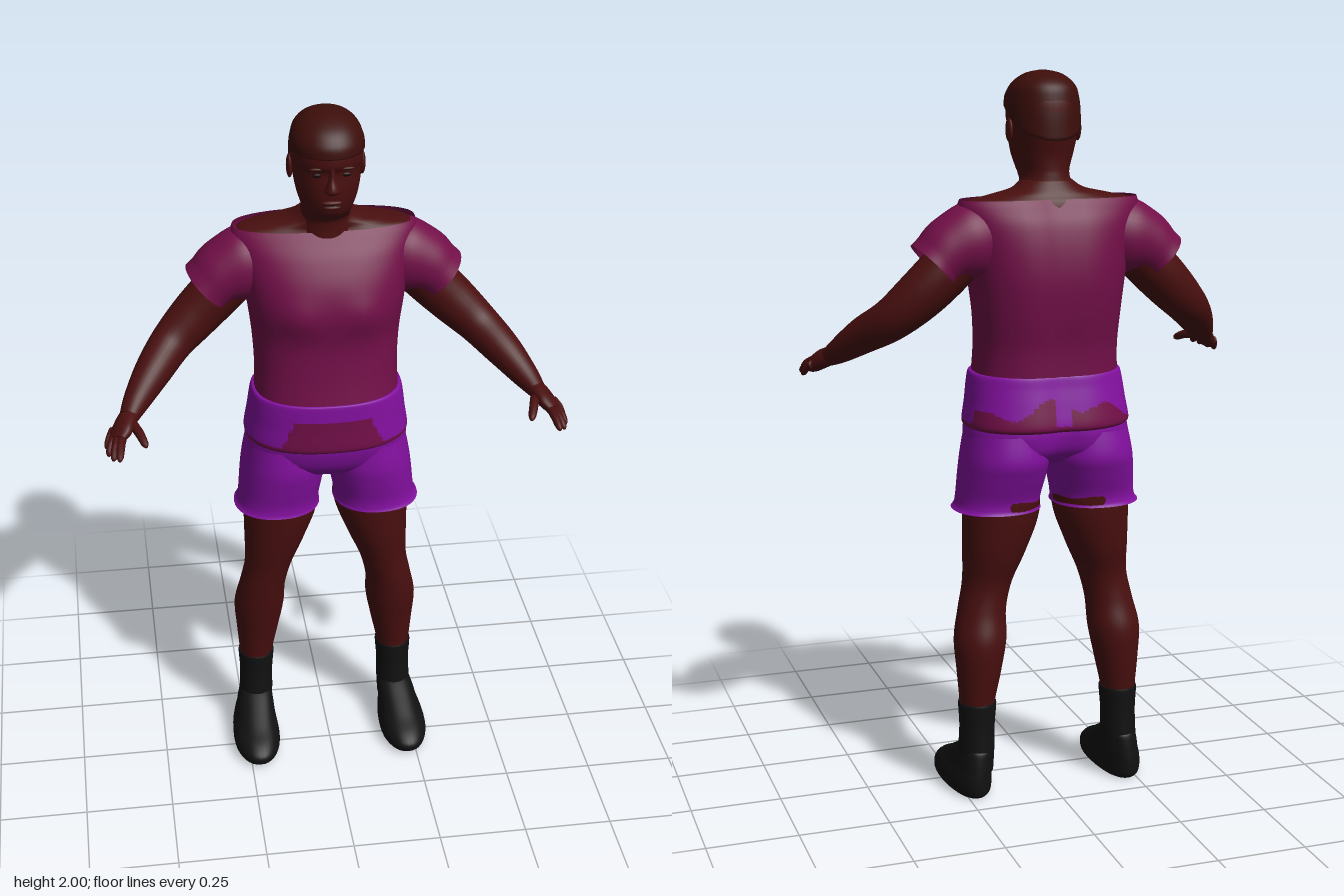
import * as THREE from 'three';

const mat = (name, color, side = THREE.FrontSide) => {
  const m = new THREE.MeshStandardMaterial({ color, side });
  m.name = name;
  return m;
};

// Smooth surface through sections [x, y, z, halfWidth, halfDepth].
// dir fixes the ring normal; otherwise rings follow the path.
function loft(sections, { n = 40, steps = 6, power = 2, dir = null, cap = true, deform = null, paint = null } = {}) {
  const V = THREE.Vector3, last = sections.length - 1, pos = [], index = [];
  const cr = (a, b, c, d, t) =>
    0.5 * (2 * b + (c - a) * t + (2 * a - 5 * b + 4 * c - d) * t * t + (3 * b - a - 3 * c + d) * t * t * t);
  const at = (f) => {
    const i = Math.min(Math.floor(f), last - 1), t = f - i;
    const s = (k) => sections[Math.max(0, Math.min(last, k))];
    return s(i).map((_, k) => cr(s(i - 1)[k], s(i)[k], s(i + 1)[k], s(i + 2)[k], t));
  };
  const rows = last * steps, zAxis = new V(0, 0, 1);
  const place = (p) => { if (deform) deform(p); pos.push(p.x, p.y, p.z); };
  const bend = (c) => Math.sign(c) * Math.pow(Math.abs(c), 2 / power);
  for (let i = 0; i <= rows; i++) {
    const f = i / steps, q = at(f), a = at(Math.max(0, f - 0.1)), b = at(Math.min(last, f + 0.1));
    const T = dir ? dir.clone() : new V(b[0] - a[0], b[1] - a[1], b[2] - a[2]).normalize();
    const u = T.clone().cross(zAxis).normalize(), v = T.clone().cross(u);
    for (let j = 0; j < n; j++) {
      const w = (j / n) * Math.PI * 2;
      place(new V(q[0], q[1], q[2]).addScaledVector(u, q[3] * bend(Math.cos(w))).addScaledVector(v, q[4] * bend(Math.sin(w))));
    }
  }
  for (let i = 0; i < rows; i++) for (let j = 0; j < n; j++) {
    const a = i * n + j, b = i * n + (j + 1) % n;
    index.push(a, b, a + n, b, b + n, a + n);
  }
  if (cap) {
    const c = pos.length / 3, top = rows * n;
    place(new V(...sections[0].slice(0, 3)));
    place(new V(...sections[last].slice(0, 3)));
    for (let j = 0; j < n; j++) {
      const k = (j + 1) % n;
      index.push(c, k, j, c + 1, top + j, top + k);
    }
  }
  const g = new THREE.BufferGeometry();
  g.setAttribute('position', new THREE.Float32BufferAttribute(pos, 3));
  if (paint) {
    const sets = [[], []];
    for (let i = 0; i < index.length; i += 3) {
      const t = index.slice(i, i + 3), mid = (k) => (pos[t[0] * 3 + k] + pos[t[1] * 3 + k] + pos[t[2] * 3 + k]) / 3;
      sets[paint(mid(0), mid(1), mid(2))].push(...t);
    }
    g.setIndex([...sets[0], ...sets[1]]);
    g.addGroup(0, sets[0].length, 0);
    g.addGroup(sets[0].length, sets[1].length, 1);
  } else g.setIndex(index);
  g.computeVertexNormals();
  return g;
}

// Horizontal slices [y, x, halfWidth, frontZ, backZ]
function stack(rows, opts = {}, s = 1) {
  const up = Math.sign(rows[rows.length - 1][0] - rows[0][0]);
  return loft(rows.map(([y, x, rx, f, b]) => [x * s, y, (f + b) / 2, rx, (f - b) / 2]), { dir: new THREE.Vector3(0, up, 0), ...opts });
}

export function createModel() {
  const root = new THREE.Group();
  root.name = 'figure';
  const skin = mat('skin', 0x490f0f), hairMat = mat('hair', 0x3c0e0a, THREE.DoubleSide), dark = mat('eyeDark', 0x160606);
  const shirtMat = mat('shirt', 0x720f48, THREE.DoubleSide), shortsMat = mat('shorts', 0x8410a0, THREE.DoubleSide);
  const black = mat('footwear', 0x111111);
  const add = (name, geo, m, parent = root) => {
    const mesh = new THREE.Mesh(geo, m);
    mesh.name = name;
    parent.add(mesh);
    return mesh;
  };
  const blob = (name, m, p, size, parent) => {
    const b = add(name, new THREE.SphereGeometry(1, 20, 14), m, parent);
    b.position.set(...p);
    b.scale.set(...size);
    return b;
  };
  // Groove along the spine
  const groove = (depth) => (p) => { if (p.z < -0.13) p.z += depth * Math.exp(-((p.x / 0.05) ** 2)); };

  // Head and neck
  const head = new THREE.Group();
  head.name = 'head';
  root.add(head);
  add('headAndNeck', stack([
    [1.62, 0, 0.085, -0.02, -0.18], [1.70, 0, 0.07, -0.02, -0.166], [1.725, 0, 0.066, 0.01, -0.162],
    [1.745, 0, 0.069, 0.032, -0.16], [1.78, 0, 0.08, 0.043, -0.162], [1.82, 0, 0.088, 0.046, -0.172],
    [1.86, 0, 0.093, 0.045, -0.182], [1.885, 0, 0.095, 0.054, -0.184], [1.93, 0, 0.092, 0.048, -0.178],
    [1.965, 0, 0.074, 0.022, -0.157], [1.988, 0, 0.044, -0.02, -0.118], [1.996, 0, 0.008, -0.06, -0.08]],
  { power: 2.15 }), skin, head);
  add('hair', stack([
    [1.905, 0, 0.099, 0.06, -0.187], [1.935, 0, 0.096, 0.055, -0.182], [1.968, 0, 0.078, 0.028, -0.162],
    [1.991, 0, 0.047, -0.018, -0.122], [2.0, 0, 0.008, -0.06, -0.08]], {
    power: 2.15,
    deform: (p) => { if (p.z < -0.03) p.y -= (-0.03 - p.z) * Math.max(0, 1.95 - p.y) * 12; },
  }), hairMat, head);
  add('nose', stack([
    [1.805, 0, 0.012, 0.052, 0.02], [1.815, 0, 0.021, 0.069, 0.02], [1.828, 0, 0.016, 0.069, 0.02],
    [1.85, 0, 0.01, 0.058, 0.02], [1.88, 0, 0.009, 0.053, 0.02]], { n: 16 }), skin, head);
  blob('upperLip', skin, [0, 1.782, 0.042], [0.028, 0.007, 0.01], head);
  blob('lowerLip', skin, [0, 1.768, 0.039], [0.024, 0.007, 0.01], head);
  blob('mouthLine', dark, [0, 1.775, 0.044], [0.026, 0.002, 0.005], head);
  for (const s of [-1, 1]) {
    blob('ear', skin, [s * 0.096, 1.845, -0.075], [0.009, 0.033, 0.02], head);
    blob('eye', dark, [s * 0.036, 1.857, 0.036], [0.015, 0.006, 0.005], head);
    blob('brow', hairMat, [s * 0.038, 1.876, 0.042], [0.022, 0.005, 0.007], head);
  }

  // Bare shoulders inside the wide neckline
  add('shoulders', stack([
    [1.58, 0, 0.225, -0.005, -0.215], [1.63, 0, 0.238, -0.022, -0.208], [1.66, 0, 0.235, -0.038, -0.2],
    [1.676, 0, 0.17, -0.042, -0.19], [1.692, 0, 0.1, -0.036, -0.18], [1.715, 0, 0.066, -0.03, -0.163]],
  { power: 2.3 }), skin);

  // Shirt body, with pectoral swell and spine groove
  add('shirtBody', stack([
    [1.19, 0, 0.201, 0.074, -0.235], [1.27, 0, 0.198, 0.062, -0.238], [1.36, 0, 0.203, 0.056, -0.252],
    [1.45, 0, 0.214, 0.066, -0.26], [1.53, 0, 0.226, 0.052, -0.254], [1.60, 0, 0.241, 0.018, -0.238],
    [1.645, 0, 0.252, -0.015, -0.217], [1.668, 0, 0.247, -0.033, -0.205]], {
    n: 56, power: 2.35, cap: false,
    deform: (p) => {
      groove(0.012)(p);
      if (p.z > -0.02) p.z += 0.01 * Math.exp(-(((Math.abs(p.x) - 0.09) / 0.05) ** 2) - ((p.y - 1.46) / 0.05) ** 2);
    },
  }), shirtMat);

  // Hips: shirt tail and waistband show through each other
  add('waistAndShirtTail', stack([
    [1.05, 0, 0.225, 0.072, -0.252], [1.064, 0, 0.231, 0.08, -0.262], [1.12, 0, 0.222, 0.079, -0.252],
    [1.165, 0, 0.216, 0.079, -0.242], [1.196, 0, 0.209, 0.078, -0.236], [1.199, 0, 0.197, 0.07, -0.228]], {
    n: 96, steps: 8, power: 2.35, cap: false, deform: groove(0.012),
    paint: (x, y, z) => {
      if (y < 1.067) return 1;
      const ax = Math.abs(x);
      if (z > 0) return y < 1.148 && ax < 0.145 - (y - 1.06) * 0.45 ? 1 : 0;
      if (z < -0.14) return y < 1.13 + 0.018 * Math.sin(x * 37) - ax * 0.2 && ax > 0.02 ? 1 : 0;
      return 0;
    },
  }), [shortsMat, shirtMat]);

  // Shorts seat
  add('shortsSeat', stack([
    [0.935, 0, 0.05, -0.03, -0.15], [0.95, 0, 0.15, 0.015, -0.195], [0.985, 0, 0.215, 0.047, -0.235],
    [1.03, 0, 0.229, 0.064, -0.248], [1.07, 0, 0.224, 0.07, -0.246]],
  { n: 56, power: 2.35, deform: groove(0.03) }), shortsMat);

  for (const s of [-1, 1]) {
    const side = new THREE.Group();
    side.name = s > 0 ? 'leftLimbs' : 'rightLimbs';
    root.add(side);
    const put = (name, geo, m) => add(name, geo, m, side);

    put('shortsLeg', stack([
      [1.04, 0.12, 0.105, 0.045, -0.235], [0.97, 0.121, 0.118, 0.049, -0.245], [0.92, 0.127, 0.119, 0.042, -0.23],
      [0.86, 0.136, 0.116, 0.03, -0.207], [0.832, 0.14, 0.117, 0.029, -0.204], [0.82, 0.143, 0.123, 0.032, -0.208]],
    { cap: false, power: 2.2 }, s), shortsMat);
    put('leg', stack([
      [0.93, 0.13, 0.1, 0.01, -0.205], [0.81, 0.131, 0.107, 0.01, -0.203], [0.7, 0.15, 0.088, 0, -0.188],
      [0.61, 0.17, 0.069, -0.015, -0.165], [0.53, 0.188, 0.067, -0.024, -0.17], [0.45, 0.198, 0.073, -0.035, -0.19],
      [0.36, 0.204, 0.062, -0.052, -0.186], [0.27, 0.21, 0.049, -0.066, -0.174], [0.2, 0.212, 0.044, -0.07, -0.17]], {}, s), skin);
    put('sock', stack([
      [0.268, 0.21, 0.046, -0.068, -0.172], [0.266, 0.21, 0.053, -0.062, -0.178], [0.2, 0.211, 0.049, -0.064, -0.176],
      [0.13, 0.213, 0.05, -0.058, -0.178], [0.07, 0.216, 0.05, -0.05, -0.178]], {}, s), black);
    put('shoe', stack([
      [0, 0.225, 0.056, 0.1, -0.175], [0.012, 0.225, 0.068, 0.122, -0.187], [0.035, 0.225, 0.071, 0.125, -0.19],
      [0.058, 0.224, 0.067, 0.098, -0.19], [0.08, 0.221, 0.061, 0.05, -0.188], [0.105, 0.218, 0.057, 0.002, -0.185],
      [0.13, 0.214, 0.051, -0.045, -0.18], [0.14, 0.213, 0.044, -0.065, -0.17]], {
      power: 2.2,
      deform: (p) => { p.x = s * 0.222 + (p.x - s * 0.222) * Math.min(1.02, 0.92 + (p.z + 0.1) * 0.7); },
    }, s), black);

    // Path-following parts, mirrored by side
    const limb = (pts, opts) => loft(pts.map(([x, ...r]) => [x * s, ...r]), opts);
    put('sleeve', limb([
      [0.17, 1.568, -0.115, 0.09, 0.085], [0.215, 1.558, -0.115, 0.104, 0.094], [0.27, 1.538, -0.113, 0.09, 0.091],
      [0.305, 1.512, -0.112, 0.078, 0.089], [0.322, 1.496, -0.112, 0.077, 0.091]], { cap: false }), shirtMat);
    put('arm', limb([
      [0.2, 1.57, -0.115, 0.07, 0.07], [0.29, 1.48, -0.112, 0.071, 0.07], [0.36, 1.412, -0.1, 0.067, 0.065],
      [0.425, 1.352, -0.07, 0.058, 0.057], [0.482, 1.303, 0, 0.05, 0.05], [0.53, 1.255, 0.065, 0.037, 0.037],
      [0.556, 1.228, 0.11, 0.025, 0.029]], { n: 28 }), skin);
    put('palm', limb([
      [0.552, 1.232, 0.1, 0.024, 0.028], [0.565, 1.222, 0.125, 0.024, 0.036], [0.58, 1.209, 0.155, 0.021, 0.04],
      [0.592, 1.2, 0.178, 0.014, 0.03]], { n: 24 }), skin);
    // Four fingers and a thumb: base, tip, radius
    [[[0.575, 1.207, 0.16], [0.588, 1.182, 0.258], 0.011], [[0.586, 1.205, 0.16], [0.604, 1.176, 0.242], 0.011],
      [[0.594, 1.202, 0.15], [0.616, 1.171, 0.208], 0.011], [[0.598, 1.205, 0.13], [0.62, 1.17, 0.168], 0.01],
      [[0.55, 1.222, 0.125], [0.516, 1.2, 0.225], 0.012]].forEach(([a, b, r], i) => {
      const along = (t, k) => [...a.map((v, j) => v + (b[j] - v) * t + (j === 1 ? 0.008 * Math.sin(t * Math.PI) : 0)), r * k, r * k];
      put(i < 4 ? 'finger' : 'thumb', limb([along(0, 1.2), along(0.5, 1.05), along(0.88, 0.85), along(1, 0.3)], { n: 10, steps: 3 }), skin);
    });
  }
  return root;
}
